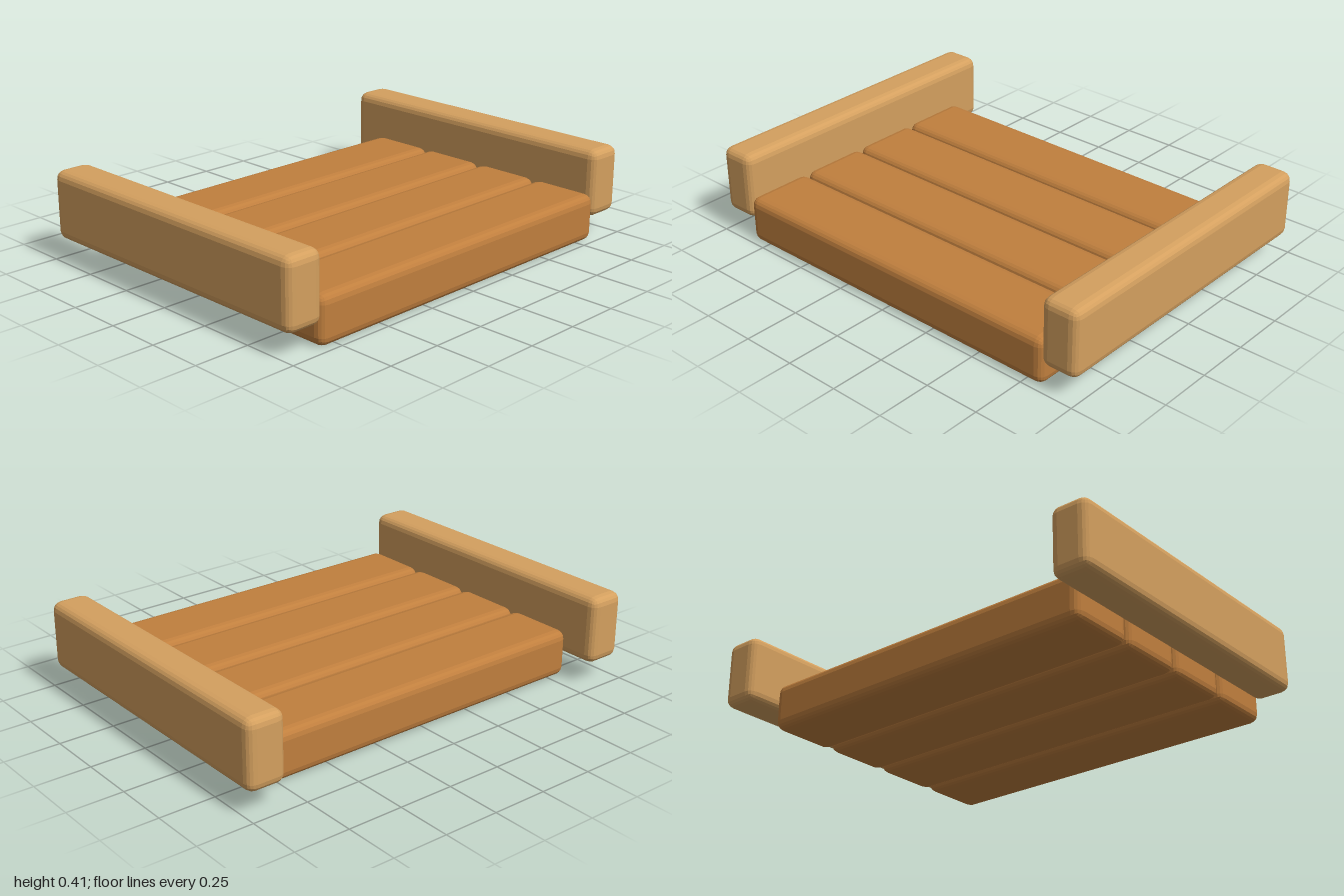
import * as THREE from 'three';
import { RoundedBoxGeometry } from 'three/addons/geometries/RoundedBoxGeometry.js';

export function createModel() {
  const model = new THREE.Group();
  model.name = 'slattedPlatform';

  const paleWood = new THREE.MeshStandardMaterial({ color: 0xd4a05f, flatShading: true });
  paleWood.name = 'paleWood';
  const brownWood = new THREE.MeshStandardMaterial({ color: 0xc07f3e, flatShading: true });
  brownWood.name = 'brownWood';

  // A beam with rounded edges, placed by its centre
  const beam = (name, size, position, material) => {
    const mesh = new THREE.Mesh(new RoundedBoxGeometry(...size, 2, 0.04), material);
    mesh.name = name;
    mesh.position.set(...position);
    model.add(mesh);
  };

  // Side rails, overhanging the planks at the back
  for (const [name, side] of [['leftRail', 1], ['rightRail', -1]]) {
    beam(name, [0.176, 0.308, 1.46], [side * 0.912, 0.254, 0], paleWood);
  }

  // Four cross planks, starting flush with the rails at the front
  for (let i = 0; i < 4; i++) {
    beam(`plank${i + 1}`, [1.676, 0.214, 0.318], [0, 0.107, 0.571 - i * 0.3285], brownWood);
  }

  return model;
}
